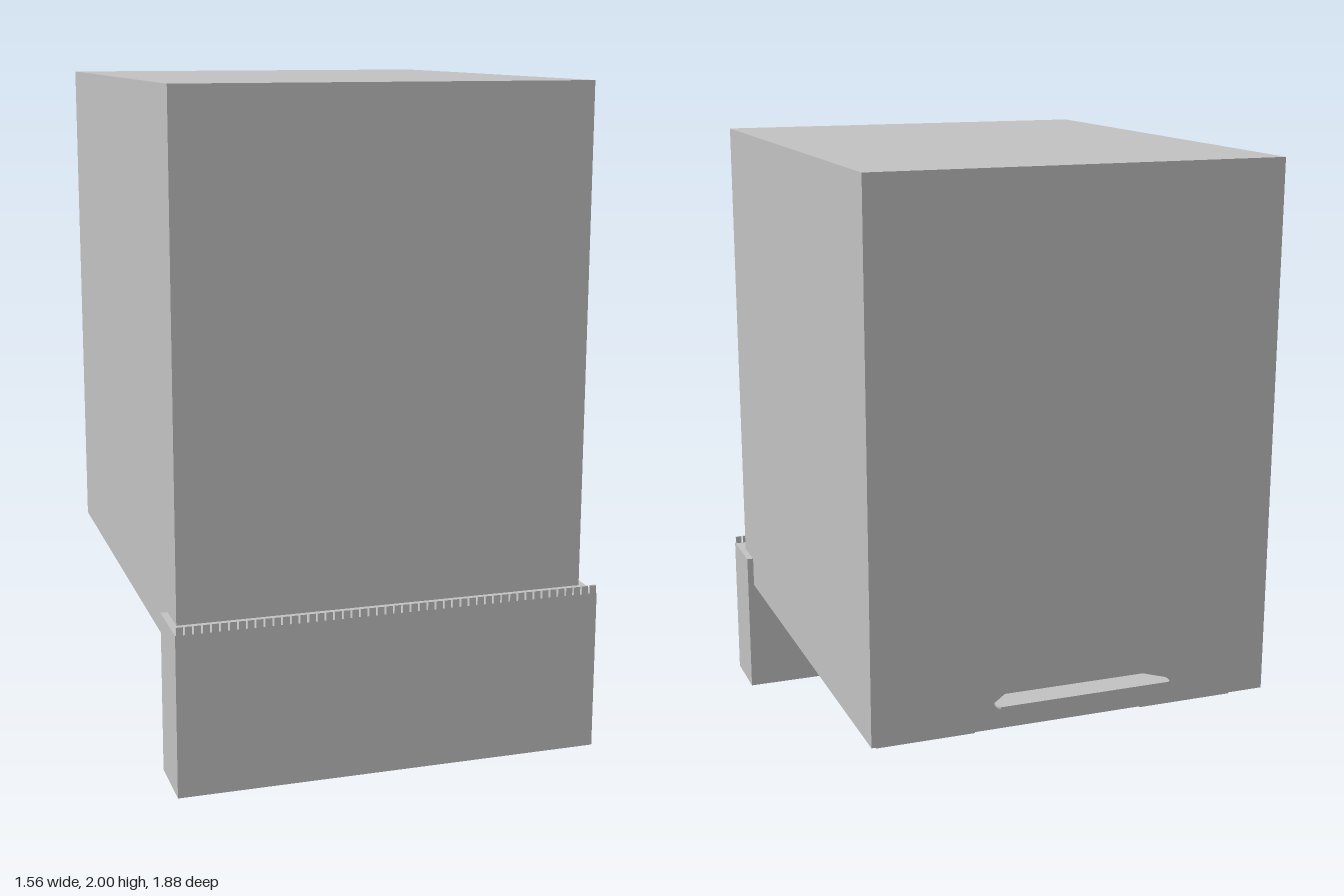
import * as THREE from 'three';

export function createModel() {
  const model = new THREE.Group();
  const body = new THREE.Group();
  body.name = 'cabinet';
  body.rotation.y = 0.195;
  body.position.set(-0.02, 0, -0.04);
  model.add(body);

  const grey = new THREE.MeshStandardMaterial({ color: 0xc4c4c4 });
  grey.name = 'grey';

  const add = (name, geometry, x = 0, y = 0, z = 0) => {
    const mesh = new THREE.Mesh(geometry, grey);
    mesh.name = name;
    mesh.position.set(x, y, z);
    body.add(mesh);
    return mesh;
  };
  // Box given by its lower and upper limits
  const block = (name, x0, x1, y0, y1, z0, z1) =>
    add(name, new THREE.BoxGeometry(x1 - x0, y1 - y0, z1 - z0),
      (x0 + x1) / 2, (y0 + y1) / 2, (z0 + z1) / 2);
  // Horizontal plate from an outline of [x, z] points
  const plate = (name, points, y0, y1) => {
    const shape = new THREE.Shape(points.map(([x, z]) => new THREE.Vector2(x, -z)));
    const geometry = new THREE.ExtrudeGeometry(shape, { depth: y1 - y0, bevelEnabled: false });
    geometry.rotateX(-Math.PI / 2);
    return add(name, geometry, 0, y0, 0);
  };

  // Main housing
  block('housing', -0.624, 0.624, 0.387, 2, -0.785, 0.785);

  // Base plate: corners stand out, the middle of each side is set back
  const a = 0.576, b = 0.671, s = 0.024, cx = 0.27, cz = 0.362;
  plate('basePlate', [
    [-a, b], [-cx, b], [-cx, b - s], [cx, b - s], [cx, b], [a, b],
    [a, cz], [a - s, cz], [a - s, -cz], [a, -cz], [a, -b],
    [cx, -b], [cx, -b + s], [-cx, -b + s], [-cx, -b], [-a, -b],
    [-a, -cz], [-a + s, -cz], [-a + s, cz], [-a, cz],
  ], 0.328, 0.39);

  // Front apron
  block('frontApron', -0.645, 0.645, 0, 0.487, 0.665, 0.866);

  // Row of small teeth on the apron's front edge
  const count = 50, pitch = 1.29 / count;
  for (let i = 0; i < count; i++) {
    const x = -0.645 + i * pitch;
    block('apronTooth', x + 0.003, x + pitch - 0.003, 0.487, 0.511, 0.859, 0.866);
  }

  // Thin ledge on the back
  plate('backLedge', [
    [-0.215, -0.78], [0.215, -0.78], [0.272, -0.835], [0.272, -0.86],
    [0.264, -0.869], [-0.264, -0.869], [-0.272, -0.86], [-0.272, -0.835],
  ], 0.486, 0.492);

  return model;
}
